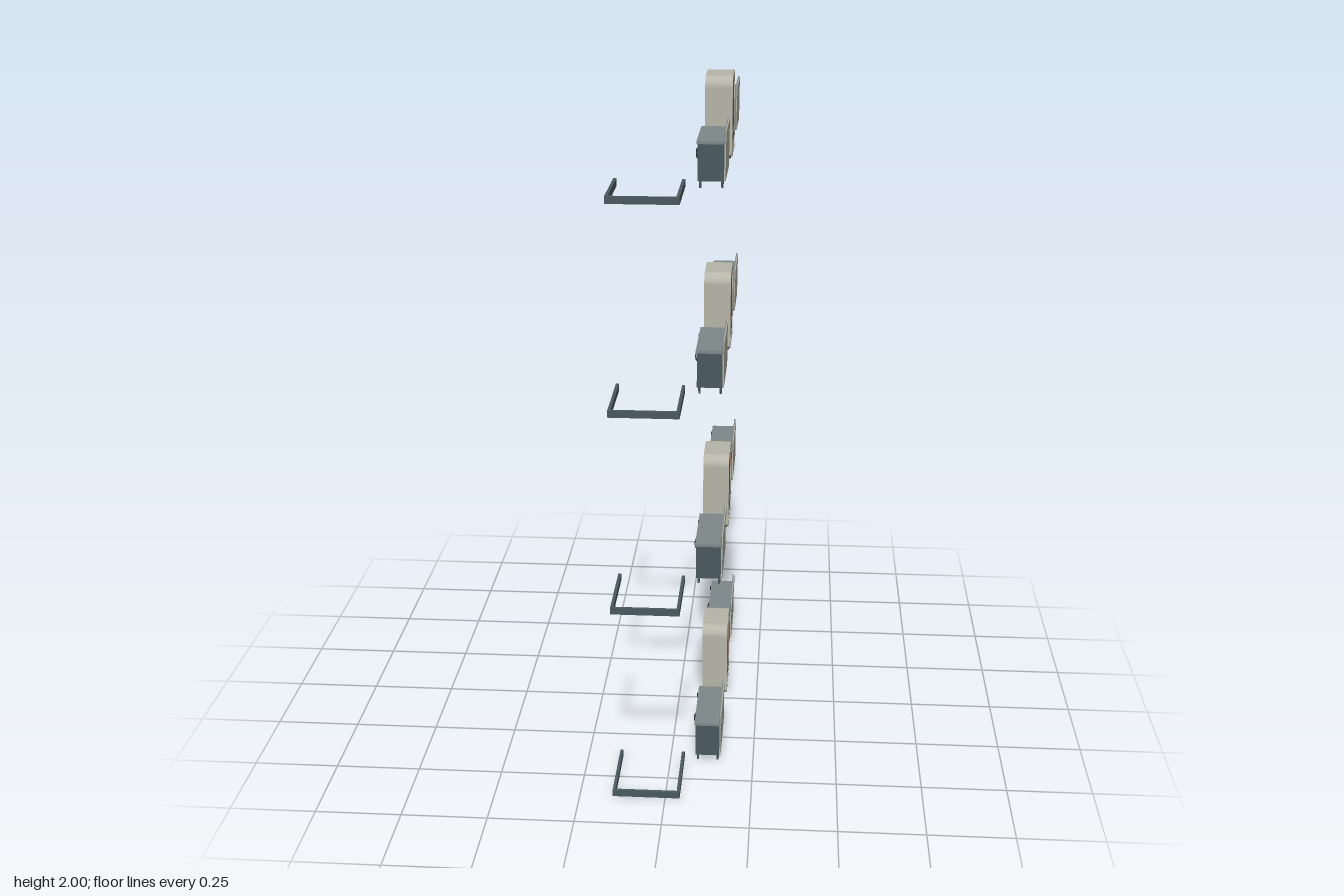
import * as THREE from 'three';

const mat = (name, color, side = THREE.FrontSide) => {
  const m = new THREE.MeshStandardMaterial({ color, side });
  m.name = name;
  return m;
};

export function createModel() {
  const beige = mat('warm beige', 0xb6b5a8);
  const slate = mat('dark slate', 0x4a5a60);
  const steel = mat('worktop steel', 0x7f8989);
  const rust = mat('rust orange', 0xa95d42);
  const dark = mat('charcoal', 0x2d363a);
  const pale = mat('pale lining', 0xcfcec4);

  const add = (parent, name, geometry, material) => {
    const mesh = new THREE.Mesh(geometry, material);
    mesh.name = name;
    parent.add(mesh);
    return mesh;
  };
  // Box given by its limits on each axis
  const box = (parent, name, material, [x0, x1], [y0, y1], [z0, z1]) => {
    const g = new THREE.BoxGeometry(x1 - x0, y1 - y0, z1 - z0);
    g.translate((x0 + x1) / 2, (y0 + y1) / 2, (z0 + z1) / 2);
    return add(parent, name, g, material);
  };
  // Rounded outline, with separate top and bottom radii
  const outline = (Type, w, y0, y1, rt, rb) => {
    const p = new Type();
    const h = w / 2;
    p.moveTo(-h + rb, y0);
    p.lineTo(h - rb, y0);
    p.absarc(h - rb, y0 + rb, rb, -Math.PI / 2, 0);
    p.lineTo(h, y1 - rt);
    p.absarc(h - rt, y1 - rt, rt, 0, Math.PI / 2);
    p.lineTo(-h + rt, y1);
    p.absarc(-h + rt, y1 - rt, rt, Math.PI / 2, Math.PI);
    p.lineTo(-h, y0 + rb);
    p.absarc(-h + rb, y0 + rb, rb, Math.PI, Math.PI * 1.5);
    return p;
  };
  // Extrude a z-y outline along x, from x0 to x1
  const slab = (parent, name, material, shape, x0, x1) => {
    const g = new THREE.ExtrudeGeometry(shape, { depth: x1 - x0, bevelEnabled: false, curveSegments: 8 });
    g.rotateY(Math.PI / 2);
    g.translate(x0, 0, 0);
    return add(parent, name, g, material);
  };

  function makeRail() {
    const rail = new THREE.Group();
    rail.name = 'floorRail';
    const y = [0.004, 0.024];
    box(rail, 'railRight', slate, [-0.153, -0.144], y, [0.385, 0.607]);
    box(rail, 'railLeft', slate, [0.034, 0.043], y, [0.385, 0.607]);
    box(rail, 'railFront', slate, [-0.153, 0.043], y, [0.607, 0.616]);
    return rail;
  }

  function makeCounter() {
    const c = new THREE.Group();
    c.name = 'counter';
    const inner = [0.076, 0.148];
    // Carcass
    box(c, 'cabinetBlock', slate, inner, [0.021, 0.122], [-0.113, -0.012]);
    box(c, 'endPanel', slate, inner, [0.021, 0.122], [0.107, 0.113]);
    box(c, 'floorPanel', slate, inner, [0.021, 0.029], [-0.012, 0.107]);
    box(c, 'topRail', slate, inner, [0.113, 0.122], [-0.012, 0.107]);
    box(c, 'backPanel', beige, [0.148, 0.152], [0.021, 0.126], [-0.113, 0.113]);
    // Open bay
    box(c, 'bayLining', pale, [0.145, 0.148], [0.029, 0.113], [-0.012, 0.107]);
    box(c, 'bayFloor', pale, [0.079, 0.145], [0.029, 0.031], [-0.011, 0.106]);
    box(c, 'bayShelf', pale, [0.084, 0.145], [0.066, 0.071], [-0.012, 0.107]);
    box(c, 'baySide', pale, [0.079, 0.145], [0.029, 0.113], [0.105, 0.107]);
    // Worktop and upstand
    box(c, 'worktop', steel, [0.073, 0.152], [0.122, 0.130], [-0.116, 0.116]);
    box(c, 'upstand', steel, [0.147, 0.1505], [0.130, 0.156], [-0.116, 0.116]);
    box(c, 'upstandBack', beige, [0.1505, 0.1535], [0.127, 0.156], [-0.116, 0.116]);
    // Door with hinges and handle
    box(c, 'door', slate, [0.073, 0.076], [0.027, 0.116], [-0.107, -0.015]);
    for (const y of [0.04, 0.103]) {
      const hinge = add(c, 'hinge', new THREE.CylinderGeometry(0.003, 0.003, 0.014, 8), dark);
      hinge.position.set(0.071, y, -0.109);
    }
    const curve = new THREE.CatmullRomCurve3([
      new THREE.Vector3(0.073, 0.055, -0.022), new THREE.Vector3(0.067, 0.060, -0.022),
      new THREE.Vector3(0.067, 0.084, -0.022), new THREE.Vector3(0.073, 0.089, -0.022)]);
    add(c, 'handle', new THREE.TubeGeometry(curve, 12, 0.0022, 6), dark);
    // Legs
    for (const x of [0.083, 0.143]) for (const z of [-0.102, 0.102]) {
      const leg = add(c, 'leg', new THREE.CylinderGeometry(0.004, 0.003, 0.021, 8), slate);
      leg.position.set(x, 0.0115, z);
    }
    return c;
  }

  function makeDisplayCase() {
    const f = new THREE.Group();
    f.name = 'displayCase';
    const shell = outline(THREE.Shape, 0.172, 0.006, 0.24, 0.033, 0.011);
    shell.holes.push(outline(THREE.Path, 0.142, 0.018, 0.222, 0.018, 0.005));
    slab(f, 'shell', beige, shell, 0.073, 0.153);
    const panel = () => outline(THREE.Shape, 0.142, 0.018, 0.222, 0.018, 0.005);
    slab(f, 'backPanel', rust, panel(), 0.147, 0.151);
    slab(f, 'lining', steel, panel(), 0.143, 0.147);
    // Front fittings
    box(f, 'lowerPanel', rust, [0.077, 0.143], [0.018, 0.082], [-0.071, 0.071]);
    box(f, 'header', rust, [0.078, 0.086], [0.205, 0.221], [-0.056, 0.056]);
    for (const y of [0.082, 0.125, 0.168]) {
      box(f, 'shelf', pale, [0.081, 0.143], [y, y + 0.005], [-0.071, 0.071]);
      box(f, 'shelfLip', beige, [0.078, 0.081], [y - 0.001, y + 0.011], [-0.071, 0.071]);
    }
    // Rear service plate with vents and screws
    box(f, 'servicePlate', steel, [0.151, 0.1525], [0.039, 0.073], [-0.055, 0.055]);
    for (const z of [-0.018, -0.006, 0.006, 0.018])
      box(f, 'vent', dark, [0.1525, 0.1532], [0.052, 0.060], [z - 0.004, z + 0.004]);
    for (const z of [-0.042, 0.042]) {
      const screw = add(f, 'screw', new THREE.CylinderGeometry(0.004, 0.004, 0.001, 10), dark);
      screw.rotation.z = Math.PI / 2;
      screw.position.set(0.1528, 0.056, z);
    }
    // Feet
    for (const x of [0.086, 0.14]) for (const z of [-0.06, 0.06])
      box(f, 'foot', dark, [x - 0.008, x + 0.008], [0, 0.006], [z - 0.011, z + 0.011]);
    return f;
  }

  const model = new THREE.Group();
  model.name = 'storeFittings';
  // Four identical levels
  for (let i = 0; i < 4; i++) {
    const level = new THREE.Group();
    level.name = 'level' + (i + 1);
    level.position.y = (i * 1.76) / 3;
    level.add(makeRail());
    for (const z of [0.282, -0.5]) {
      const counter = makeCounter();
      counter.position.z = z;
      level.add(counter);
    }
    const displayCase = makeDisplayCase();
    displayCase.position.z = -0.109;
    level.add(displayCase);
    model.add(level);
  }
  return model;
}
